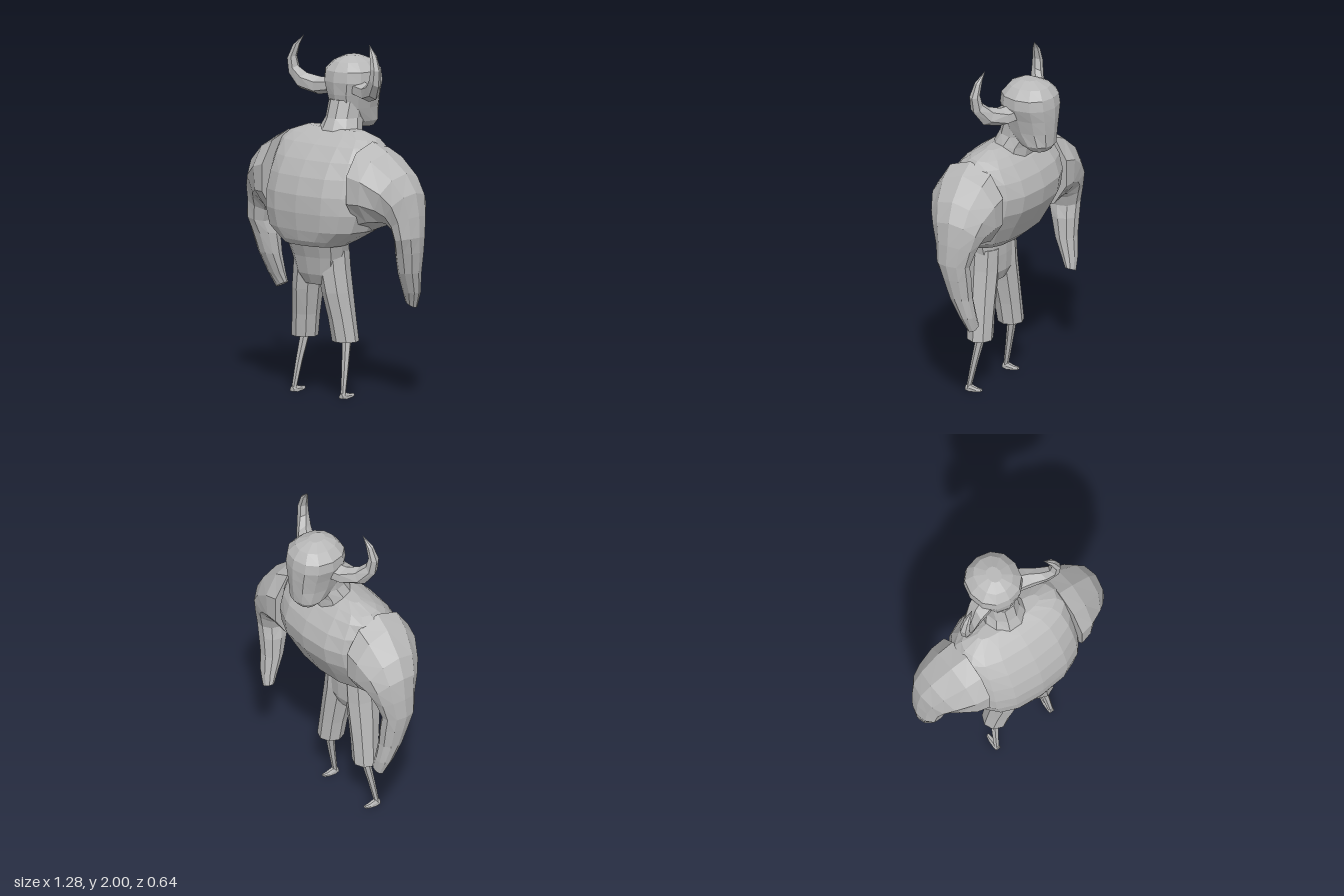
import * as THREE from 'three';

const grey = new THREE.MeshStandardMaterial({ color: 0xb8b8b8, flatShading: true });
grey.name = 'clay grey';

// Skin a list of rings (equal point counts) and close both ends.
function loft(name, rings) {
  const tris = [];
  const n = rings[0].length;
  for (let r = 0; r < rings.length - 1; r++) {
    for (let i = 0; i < n; i++) {
      const j = (i + 1) % n;
      const a = rings[r][i], b = rings[r][j], c = rings[r + 1][j], d = rings[r + 1][i];
      tris.push([a, b, c], [a, c, d]);
    }
  }
  const cap = (ring, flip) => {
    const mid = ring.reduce((s, p) => s.add(p), new THREE.Vector3()).divideScalar(n);
    ring.forEach((p, i) => {
      const q = ring[(i + 1) % n];
      tris.push(flip ? [mid, q, p] : [mid, p, q]);
    });
  };
  cap(rings[0], true);
  cap(rings[rings.length - 1], false);
  // Turn the faces outward whichever way the rings run.
  const volume = tris.reduce((s, [a, b, c]) => s + a.dot(b.clone().cross(c)), 0);
  const pos = [];
  for (const [a, b, c] of tris) {
    for (const p of volume < 0 ? [a, c, b] : [a, b, c]) pos.push(p.x, p.y, p.z);
  }
  const geo = new THREE.BufferGeometry();
  geo.setAttribute('position', new THREE.Float32BufferAttribute(pos, 3));
  geo.computeVertexNormals();
  const mesh = new THREE.Mesh(geo, grey);
  mesh.name = name;
  return mesh;
}

const power = (v, e) => Math.sign(v) * Math.pow(Math.abs(v), 2 / e);

// Level sections: [y, half width, front z, back z]; e above 2 is squarer.
function levels(name, rows, sides, e = 2) {
  return loft(name, rows.map(([y, hx, zf, zb]) =>
    Array.from({ length: sides }, (_, i) => {
      const t = (i / sides) * Math.PI * 2;
      return new THREE.Vector3(hx * power(Math.cos(t), e), y,
        (zf + zb) / 2 + (zf - zb) / 2 * power(Math.sin(t), e));
    })));
}

// Limb sections: [outer x, outer y, inner x, inner y, centre z, half depth].
function limb(name, side, rows, sides) {
  return loft(name, rows.map(([ox, oy, ix, iy, z, hz]) =>
    Array.from({ length: sides }, (_, i) => {
      const t = (i / sides) * Math.PI * 2;
      const k = Math.cos(t) / 2;
      return new THREE.Vector3(side * ((ox + ix) / 2 + (ox - ix) * k),
        (oy + iy) / 2 + (oy - iy) * k, z + hz * Math.sin(t));
    })));
}

export function createModel() {
  const model = new THREE.Group();
  model.name = 'hornedFigure';

  // Barrel torso
  model.add(levels('torso', [
    [0.87, 0.19, 0.275, 0.02],
    [0.9, 0.235, 0.295, -0.06],
    [0.96, 0.33, 0.31, -0.13],
    [1.06, 0.365, 0.32, -0.185],
    [1.16, 0.37, 0.315, -0.24],
    [1.26, 0.365, 0.285, -0.255],
    [1.35, 0.36, 0.235, -0.225],
    [1.43, 0.345, 0.165, -0.165],
    [1.47, 0.31, 0.105, -0.12],
    [1.505, 0.21, 0.03, -0.06],
  ], 16, 2.6));

  // Neck and head
  model.add(levels('neck', [
    [1.44, 0.14, 0.08, -0.16],
    [1.5, 0.125, 0.06, -0.17],
    [1.56, 0.1, 0.03, -0.2],
    [1.66, 0.1, 0.0, -0.22],
  ], 10));
  model.add(levels('head', [
    [1.495, 0.07, -0.17, -0.285],
    [1.53, 0.1, -0.11, -0.312],
    [1.61, 0.115, -0.02, -0.32],
    [1.69, 0.135, 0.0, -0.325],
    [1.76, 0.16, 0.008, -0.325],
    [1.82, 0.155, 0.0, -0.315],
    [1.87, 0.105, -0.04, -0.275],
    [1.9, 0.04, -0.1, -0.2],
  ], 12, 2.2));

  // Hips
  model.add(levels('hips', [
    [0.9, 0.19, 0.27, 0.0],
    [0.8, 0.165, 0.235, 0.0],
    [0.7, 0.14, 0.215, 0.005],
    [0.64, 0.09, 0.185, 0.03],
  ], 12, 2.6));

  for (const [label, s] of [['left', 1], ['right', -1]]) {
    // Shoulder, forearm and tapered hand in one sweep
    model.add(limb(label + 'Arm', s, [
      [0.32, 1.465, 0.32, 0.96, 0.03, 0.23],
      [0.42, 1.415, 0.38, 0.985, 0.02, 0.22],
      [0.55, 1.305, 0.42, 1.0, 0.0, 0.18],
      [0.61, 1.2, 0.445, 1.0, -0.015, 0.15],
      [0.63, 1.07, 0.465, 0.98, -0.02, 0.12],
      [0.638, 0.95, 0.485, 0.92, -0.015, 0.1],
      [0.625, 0.86, 0.468, 0.85, -0.03, 0.085],
      [0.6, 0.74, 0.463, 0.73, -0.048, 0.066],
      [0.57, 0.62, 0.46, 0.62, -0.083, 0.045],
      [0.53, 0.53, 0.455, 0.565, -0.103, 0.028],
    ], 10));

    // Curved horn
    model.add(limb(label + 'Horn', s, [
      [0.1, 1.68, 0.1, 1.77, -0.11, 0.08],
      [0.19, 1.662, 0.18, 1.765, -0.08, 0.065],
      [0.285, 1.69, 0.24, 1.785, -0.035, 0.05],
      [0.335, 1.77, 0.28, 1.825, -0.003, 0.036],
      [0.346, 1.86, 0.29, 1.88, 0.003, 0.03],
      [0.315, 1.94, 0.27, 1.95, -0.005, 0.02],
      [0.251, 2.0, 0.249, 2.0, -0.02, 0.001],
    ], 6));

    // Trouser leg
    model.add(limb(label + 'TrouserLeg', s, [
      [0.168, 0.85, 0.0, 0.85, 0.1, 0.1],
      [0.18, 0.73, 0.005, 0.71, 0.1, 0.1],
      [0.197, 0.6, 0.03, 0.6, 0.095, 0.095],
      [0.215, 0.45, 0.06, 0.45, 0.082, 0.081],
      [0.232, 0.32, 0.078, 0.32, 0.074, 0.075],
    ], 8));

    // Thin shin
    model.add(limb(label + 'Shin', s, [
      [0.187, 0.34, 0.128, 0.34, 0.066, 0.027],
      [0.197, 0.17, 0.155, 0.17, 0.1, 0.02],
      [0.203, 0.015, 0.172, 0.015, 0.13, 0.014],
    ], 6));

    // Small foot pointing backwards
    const foot = [[0.146, 0.004, 0.03, 0.014], [0.12, 0, 0.038, 0.017],
      [0.075, 0.005, 0.026, 0.016], [0.045, 0.01, 0.025, 0.01]];
    model.add(loft(label + 'Foot', foot.map(([z, y0, y1, hx]) =>
      [[-1, y0], [1, y0], [1, (y0 + y1) / 2], [0.5, y1], [-0.5, y1], [-1, (y0 + y1) / 2]]
        .map(([k, y]) => new THREE.Vector3(s * 0.187 + k * hx, y, z)))));
  }
  return model;
}
